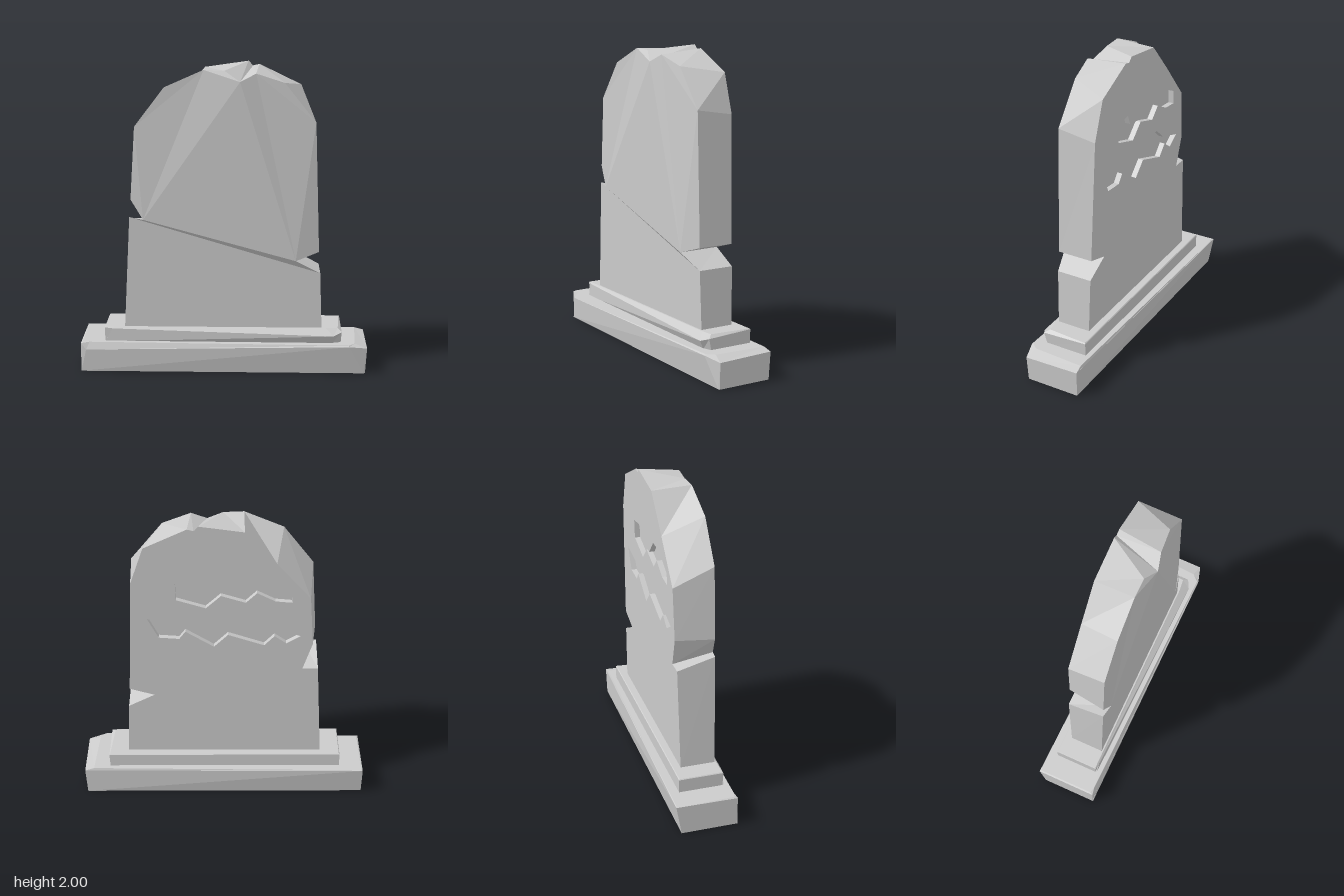
import * as THREE from 'three';

const stone = new THREE.MeshStandardMaterial({ color: 0xcccccc, flatShading: true });

// Mesh from a list of triangles, each three [x, y, z] corners
function facetMesh(name, tris) {
  const geo = new THREE.BufferGeometry();
  geo.setAttribute('position', new THREE.Float32BufferAttribute(tris.flat(2), 3));
  geo.computeVertexNormals();
  const mesh = new THREE.Mesh(geo, stone);
  mesh.name = name;
  return mesh;
}

const quad = (a, b, c, d) => [[a, b, c], [a, c, d]];

// Band of quads joining two matching loops
function band(a, b, flip = false) {
  return a.flatMap((p, i) => {
    const j = (i + 1) % a.length;
    return flip ? quad(p, a[j], b[j], b[i]) : quad(p, b[i], b[j], a[j]);
  });
}

// Fill an outline (with holes), facing +z or -z
function fill(outline, holes = [], facing = 1) {
  const flat = (loop) => loop.map((p) => new THREE.Vector2(p[0], p[1]));
  const pts = [outline, ...holes].flat();
  return THREE.ShapeUtils.triangulateShape(flat(outline), holes.map(flat)).map((f) => {
    const [a, b, c] = f.map((i) => pts[i]);
    const area = (b[0] - a[0]) * (c[1] - a[1]) - (b[1] - a[1]) * (c[0] - a[0]);
    return area * facing > 0 ? [a, b, c] : [a, c, b];
  });
}

// Stack of horizontal loops, capped at both ends
function loft(name, rings) {
  const tris = [];
  for (let k = 0; k + 1 < rings.length; k++) tris.push(...band(rings[k], rings[k + 1], true));
  const lo = rings[0], hi = rings[rings.length - 1];
  for (let i = 1; i + 1 < lo.length; i++) {
    tris.push([hi[0], hi[i], hi[i + 1]], [lo[0], lo[i + 1], lo[i]]);
  }
  return facetMesh(name, tris);
}

// The back of the slab leans slightly
const onBack = ([x, y], inset = 0) => [x, y, -0.105 - 0.02 * (y - 0.3) + inset];

function createSlab() {
  // Front outline, counterclockwise from the lower left
  const front = [
    [-0.65, 0.28, 0.12], [0.635, 0.28, 0.12], [0.62, 0.66, 0.125],
    [0.46, 0.75, 0.165], [0.61, 0.8, 0.12], [0.58, 1.64, 0.12],
    [0.38, 1.89, 0.12], [0.2, 1.95, 0.14], [0.1, 1.9, 0.165],
    [0, 1.965, 0.12], [-0.13, 1.97, 0.12], [-0.38, 1.86, 0.125],
    [-0.57, 1.61, 0.125], [-0.6, 1.14, 0.125], [-0.52, 1.01, 0.14],
    [-0.61, 1.025, 0.125],
  ];
  // Matching back outline
  const back = [
    [-0.65, 0.28], [0.635, 0.28], [0.62, 0.66],
    [0.45, 0.75], [0.61, 0.8], [0.575, 1.6],
    [0.49, 1.85], [0.22, 1.98], [0.18, 1.97],
    [0.15, 2], [-0.13, 1.96], [-0.33, 1.74],
    [-0.545, 1.49], [-0.57, 1.15], [-0.51, 0.96],
    [-0.61, 0.96],
  ].map((p) => onBack(p));

  // Jagged worn grooves carved into the back
  const grooves = [
    [[0.3, 1.6], [0.18, 1.62], [0.15, 1.55], [-0.045, 1.52], [-0.14, 1.62], [-0.28, 1.62],
      [-0.425, 1.55], [-0.43, 1.46], [-0.325, 1.47], [-0.21, 1.53], [-0.14, 1.46],
      [0.015, 1.51], [0.11, 1.42], [0.295, 1.48]],
    [[0.48, 1.34], [0.16, 1.29], [-0.11, 1.34], [-0.21, 1.35], [-0.3, 1.27], [-0.49, 1.21],
      [-0.4, 1.155], [-0.325, 1.21], [-0.26, 1.14], [-0.03, 1.22], [0.06, 1.13],
      [0.24, 1.245], [0.28, 1.19], [0.41, 1.2]],
  ];
  const rims = grooves.map((g) => g.map((p) => onBack(p)));
  const floors = grooves.map((g) => g.map((p) => onBack(p, 0.035)));

  const pick = (...ids) => ids.map((i) => front[i]);
  const tris = [
    ...band(front, back),
    // Front below the crack, then the two faces above it
    pick(2, 3, 14), pick(2, 14, 15), pick(2, 15, 0), pick(2, 0, 1),
    ...fill(pick(3, 4, 5, 6, 7, 8)),
    ...fill(pick(8, 9, 10, 11, 12, 13, 14, 3)),
    ...fill(back, rims, -1),
  ];

  const group = new THREE.Group();
  group.name = 'headstone';
  group.add(facetMesh('slab', tris));
  floors.forEach((floor, i) => {
    group.add(facetMesh('carvedGroove' + (i + 1), [
      ...fill(floor, [], -1),
      ...band(floor, rims[i], true),
    ]));
  });
  return group;
}

export function createModel() {
  const model = new THREE.Group();
  model.name = 'gravestone';

  // Ground plinth: flares upward, chipped at the front corners
  model.add(loft('plinth', [
    [[-0.935, 0, 0.18], [0.91, 0, 0.18], [0.92, 0, 0.175], [0.92, 0, -0.185], [-0.935, 0, -0.185], [-0.935, 0, 0.175]],
    [[-0.9, 0.15, 0.19], [0.81, 0.19, 0.215], [0.93, 0.17, 0.18], [0.93, 0.18, -0.19], [-0.935, 0.195, -0.22], [-0.935, 0.19, 0.18]],
    [[-0.88, 0.197, 0.17], [0.81, 0.197, 0.205], [0.85, 0.197, 0.16], [0.87, 0.197, -0.185], [-0.925, 0.197, -0.215], [-0.925, 0.197, 0.16]],
  ]));

  // Upper step: worn, sloping front edge
  model.add(loft('step', [
    [[-0.78, 0.19, 0.14], [0.7, 0.19, 0.15], [0.76, 0.19, 0.13], [0.76, 0.19, -0.155], [-0.78, 0.19, -0.155], [-0.78, 0.19, 0.13]],
    [[-0.73, 0.28, 0.14], [0.71, 0.25, 0.18], [0.765, 0.27, 0.15], [0.765, 0.285, -0.155], [-0.78, 0.285, -0.155], [-0.78, 0.285, 0.135]],
    [[-0.72, 0.29, 0.13], [0.66, 0.29, 0.13], [0.74, 0.29, 0.12], [0.76, 0.29, -0.15], [-0.775, 0.29, -0.15], [-0.775, 0.29, 0.13]],
  ]));

  model.add(createSlab());
  return model;
}
